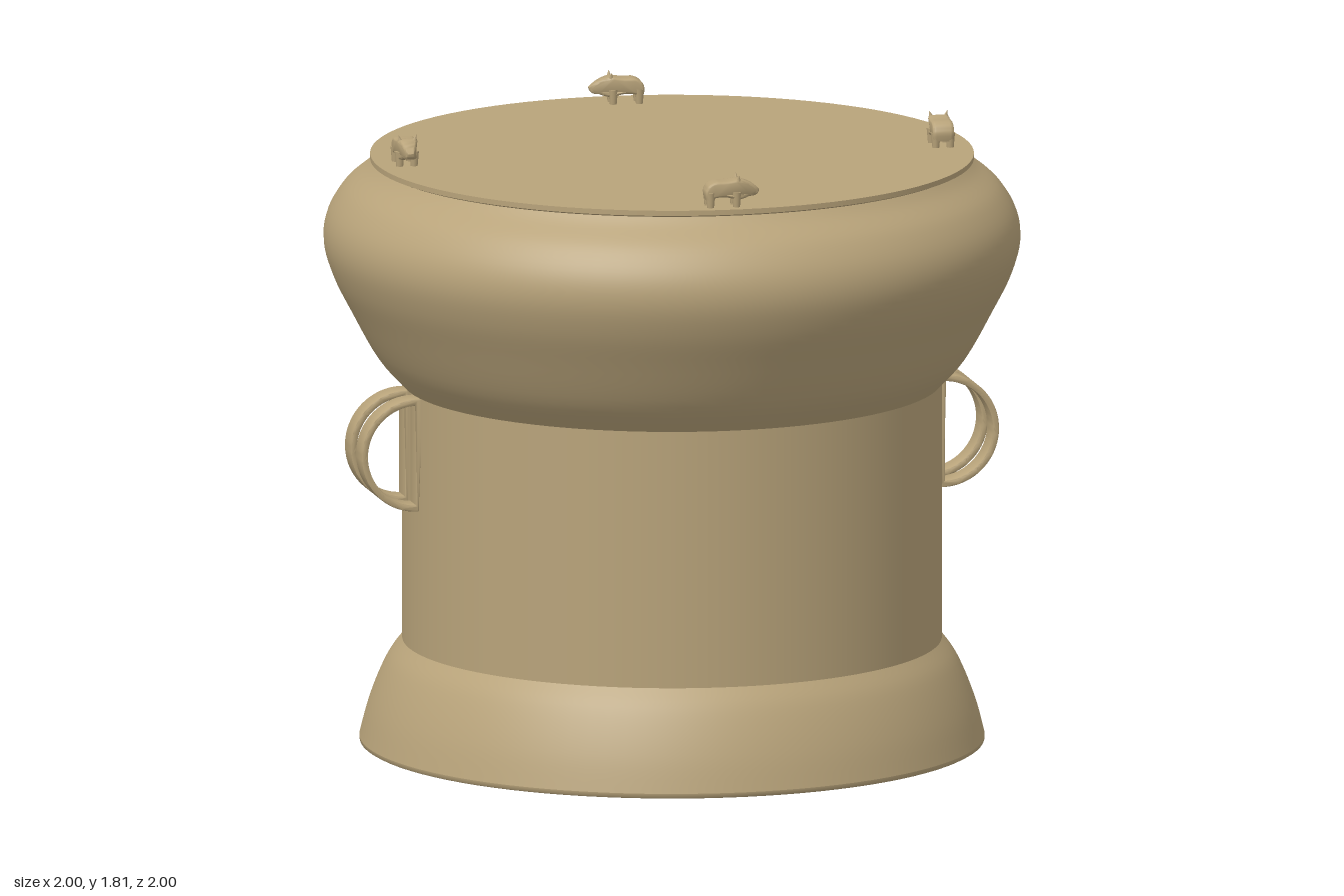
import * as THREE from 'three';
import { toCreasedNormals } from 'three/addons/utils/BufferGeometryUtils.js';

const bronze = new THREE.MeshStandardMaterial({ color: 0xb8a37a });

function add(parent, name, geometry) {
  const mesh = new THREE.Mesh(geometry, bronze);
  mesh.name = name;
  parent.add(mesh);
  return mesh;
}

// Turned section through [radius, height] points, bottom to top
function turned(points, smooth) {
  let pts = points.map(([r, y]) => new THREE.Vector2(r, y));
  if (smooth) pts = new THREE.SplineCurve(pts).getPoints(smooth);
  return new THREE.LatheGeometry(pts, 96);
}

// Two flat half-ring bands with a straight bar against the waist
function makeHandle() {
  const handle = new THREE.Group();
  const shape = new THREE.Shape();
  shape.moveTo(-0.012, -0.16);
  shape.absarc(0, 0, 0.16, -Math.PI / 2, Math.PI / 2, false);
  shape.lineTo(-0.012, 0.16);
  const hole = new THREE.Path();
  hole.moveTo(0, -0.15);
  hole.absarc(0, 0, 0.15, -Math.PI / 2, Math.PI / 2, false);
  shape.holes.push(hole);
  const band = toCreasedNormals(new THREE.ExtrudeGeometry(shape, {
    depth: 0.063, curveSegments: 32, bevelThickness: 0.006, bevelSize: 0.005, bevelSegments: 2,
  }).translate(0, 0, -0.0315), 0.7);
  for (const z of [-0.068, 0.068]) add(handle, 'handleBand', band).position.z = z;
  return handle;
}

// Small four-legged figure standing on y = 0 and facing +x
function makeFigure() {
  const figure = new THREE.Group();
  const side = new THREE.Shape();
  side.moveTo(-0.07, 0.03);
  side.quadraticCurveTo(-0.08, 0.062, -0.045, 0.07);
  side.quadraticCurveTo(-0.01, 0.068, 0.015, 0.075);
  side.quadraticCurveTo(0.05, 0.07, 0.073, 0.047);
  side.quadraticCurveTo(0.072, 0.036, 0.05, 0.038);
  side.quadraticCurveTo(0.03, 0.028, 0.01, 0.03);
  side.quadraticCurveTo(-0.03, 0.046, -0.07, 0.03);
  const body = new THREE.ExtrudeGeometry(side, {
    depth: 0.04, steps: 1, curveSegments: 8, bevelThickness: 0.011, bevelSize: 0.007, bevelSegments: 3,
  }).translate(0, 0, -0.02);
  // Narrow the head towards the snout
  const p = body.attributes.position;
  for (let i = 0; i < p.count; i++) {
    const t = THREE.MathUtils.clamp((p.getX(i) - 0.01) / 0.07, 0, 1);
    p.setZ(i, p.getZ(i) * (1 - 0.65 * t));
  }
  add(figure, 'figureBody', toCreasedNormals(body, 0.9));
  for (const z of [-0.021, 0.021]) {
    for (const x of [-0.064, 0.012]) {
      const leg = add(figure, 'figureLeg', new THREE.CylinderGeometry(0.014, 0.01, 0.045, 10));
      leg.position.set(x, 0.0225, z);
    }
    const ear = add(figure, 'figureEar', new THREE.ConeGeometry(0.009, 0.024, 8));
    ear.position.set(0.018, 0.083, z * 1.1);
    ear.rotation.x = Math.sign(z) * 0.25;
  }
  return figure;
}

export function createModel() {
  const model = new THREE.Group();
  model.name = 'drum';

  // Drum body
  add(model, 'base', turned([[0, 0], [0.89, 0]]));
  add(model, 'baseEdge', turned([[0.89, 0], [0.897, 0.004], [0.898, 0.015]]));
  add(model, 'foot', turned([[0.898, 0.015], [0.876, 0.1], [0.847, 0.18], [0.813, 0.25], [0.775, 0.3]], 16));
  add(model, 'waist', turned([[0.775, 0.3], [0.775, 1.05]]));
  add(model, 'shoulder', turned([[0.775, 1.05], [0.85, 1.135], [0.925, 1.27], [0.975, 1.37], [1, 1.46],
    [0.99, 1.54], [0.945, 1.615], [0.88, 1.67], [0.855, 1.695]], 40));
  add(model, 'rimUnderside', turned([[0.855, 1.695], [0.867, 1.7]]));
  add(model, 'rim', turned([[0.867, 1.7], [0.867, 1.715]]));
  add(model, 'drumhead', turned([[0.867, 1.715], [0, 1.715]]));

  // Paired handles on the left and right
  for (const s of [-1, 1]) {
    const handle = makeHandle();
    handle.name = s > 0 ? 'leftHandle' : 'rightHandle';
    handle.position.set(s * 0.777, 0.885, 0);
    if (s < 0) handle.rotation.y = Math.PI;
    model.add(handle);
  }

  // Four figures walking around the drumhead: x, z, heading
  const spots = [
    [0.02, -0.765, Math.PI - 0.08],
    [-0.785, 0, -Math.PI / 2 - 0.07],
    [-0.02, 0.805, -0.05],
    [0.78, 0.04, Math.PI / 2 - 0.07],
  ];
  for (const [x, z, heading] of spots) {
    const figure = makeFigure();
    figure.name = 'rimFigure';
    figure.position.set(x, 1.713, z);
    figure.rotation.y = heading;
    model.add(figure);
  }
  return model;
}
